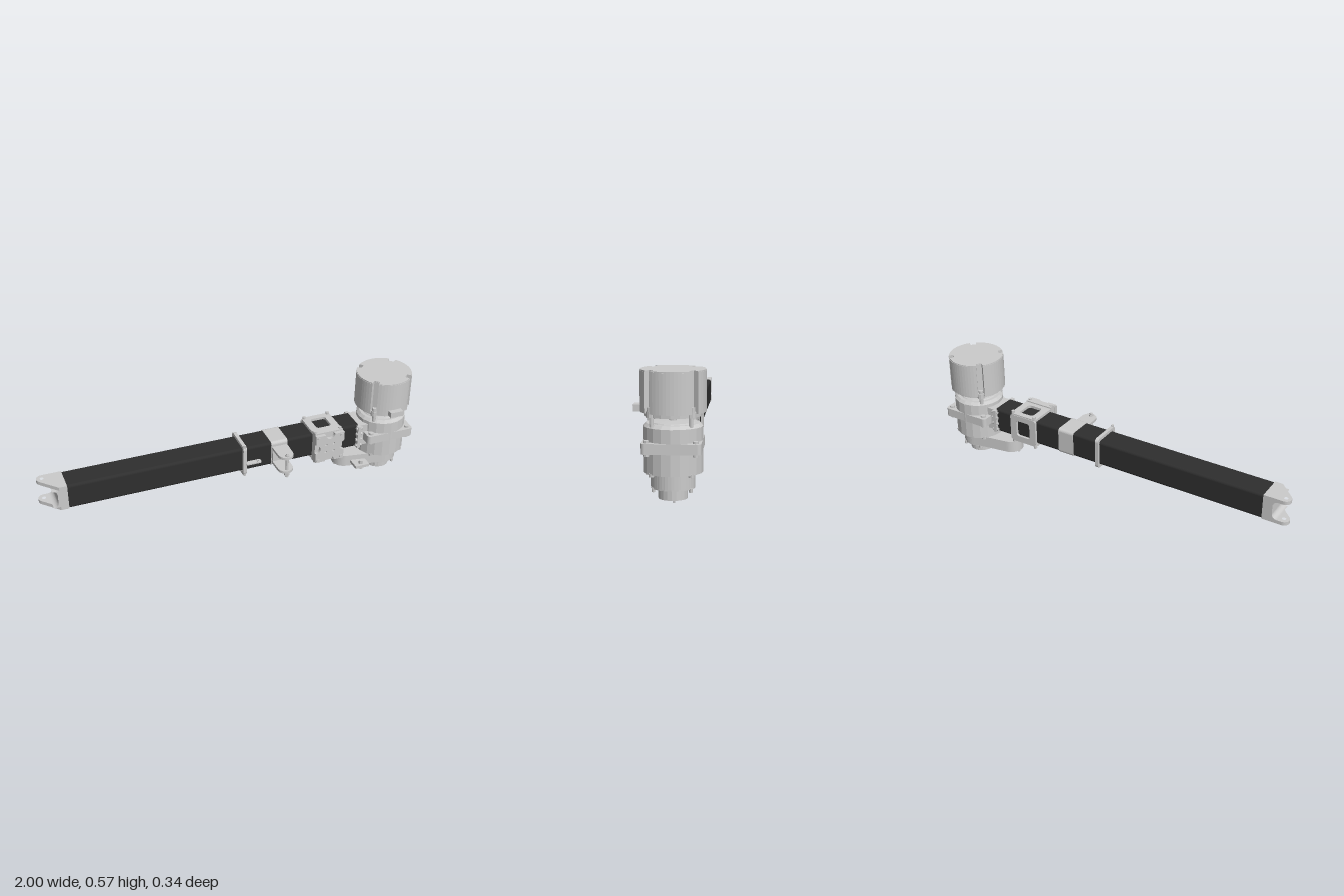
import * as THREE from 'three';

const grey = new THREE.MeshStandardMaterial({ color: 0xcccccc, flatShading: true });
const dark = new THREE.MeshStandardMaterial({ color: 0x2e2e2e, flatShading: true });
const CZ = -0.026, CY = 0.2525, MX = 0.855; // arm axis and gearbox axis

function add(parent, name, geo, x = 0, y = 0, z = 0, mat = grey) {
  const m = new THREE.Mesh(geo, mat);
  m.name = name;
  m.position.set(x, y, z);
  parent.add(m);
  return m;
}
const box = (p, n, x0, x1, y0, y1, z0, z1, mat) =>
  add(p, n, new THREE.BoxGeometry(x1 - x0, y1 - y0, z1 - z0), (x0 + x1) / 2, (y0 + y1) / 2, (z0 + z1) / 2, mat);
const post = (p, n, x, z, y0, y1, r, sides = 10, mat) =>
  add(p, n, new THREE.CylinderGeometry(r, r, y1 - y0, sides), x, (y0 + y1) / 2, z, mat);

// rounded rectangle centred on the origin
function roundRect(w, h, r, T = THREE.Shape) {
  const s = new T(), a = w / 2, b = h / 2;
  s.moveTo(-a + r, -b);
  s.lineTo(a - r, -b).absarc(a - r, -b + r, r, -Math.PI / 2, 0);
  s.lineTo(a, b - r).absarc(a - r, b - r, r, 0, Math.PI / 2);
  s.lineTo(-a + r, b).absarc(-a + r, b - r, r, Math.PI / 2, Math.PI);
  s.lineTo(-a, -b + r).absarc(-a + r, -b + r, r, Math.PI, Math.PI * 1.5);
  return s;
}
function disc(x, y, r) {
  return new THREE.Path().absarc(x, y, r, 0, Math.PI * 2, true);
}
const extrude = (s, depth, curveSegments = 6) =>
  new THREE.ExtrudeGeometry(s, { depth, bevelEnabled: false, curveSegments });
// plan shape drawn in (x, z), filling y0..y1
const slab = (p, n, s, y0, y1, x = 0, z = 0, seg) =>
  add(p, n, extrude(s, y1 - y0, seg).rotateX(Math.PI / 2), x, y1, z);
// section shape drawn in (z, y), running along x0..x1
const along = (p, n, s, x0, x1, y, z, mat) =>
  add(p, n, extrude(s, x1 - x0, 4).rotateY(Math.PI / 2), x0, y, z, mat);

function group(root, name) {
  const g = new THREE.Group();
  g.name = name;
  root.add(g);
  return g;
}

function armAndFork(root) {
  const tube = roundRect(0.135, 0.135, 0.014);
  tube.holes.push(roundRect(0.115, 0.115, 0.008, THREE.Path));
  along(root, 'armTube', tube, -0.87, 0.69, CY, CZ, dark);

  // end fork: two tapered lugs joined by a rounded web
  const g = group(root, 'endFork');
  const lug = new THREE.Shape();
  lug.moveTo(-0.87, -0.093).lineTo(-0.97, -0.093);
  lug.absarc(-0.97, -0.063, 0.03, -Math.PI / 2, -Math.PI * 1.25, true);
  lug.lineTo(-0.91, 0.041).lineTo(-0.87, 0.041);
  lug.holes.push(disc(-0.972, -0.063, 0.01));
  slab(g, 'upperLug', lug, 0.301, 0.32);
  slab(g, 'lowerLug', lug, 0.185, 0.204);
  const web = new THREE.Shape();
  web.moveTo(-0.87, 0.204).lineTo(-0.87, 0.301).lineTo(-0.945, 0.301);
  web.absarc(-0.945, 0.276, 0.025, Math.PI / 2, 0, true);
  web.lineTo(-0.92, 0.229).absarc(-0.945, 0.229, 0.025, 0, -Math.PI / 2, true);
  add(g, 'forkWeb', extrude(web, 0.134), 0, 0, -0.093);
}

function ringClamp(root) {
  const g = group(root, 'ringClamp');
  const ring = roundRect(0.168, 0.172, 0.02);
  ring.holes.push(roundRect(0.136, 0.14, 0.012, THREE.Path));
  along(g, 'ring', ring, 0.036, 0.054, CY, -0.023);
  for (const y of [0.17, 0.335]) post(g, 'ringBolt', 0.045, 0.052, y - 0.008, y + 0.012, 0.007, 6);
  const tab = roundRect(0.085, 0.03, 0.01);
  tab.holes.push(disc(0.025, 0, 0.006));
  slab(g, 'ringTab', tab, 0.231, 0.238, 0.091, 0.054);
}

function hingeBracket(root) {
  const g = group(root, 'hingeBracket');
  along(g, 'band', roundRect(0.143, 0.141, 0.016), 0.195, 0.285, CY, CZ);
  const ear = new THREE.Shape();
  ear.moveTo(-0.042, 0.04).lineTo(0.042, 0.04).lineTo(0.04, 0.125);
  ear.absarc(0, 0.125, 0.04, 0, Math.PI);
  for (const y of [0.2, 0.283]) slab(g, 'hingeEar', ear, y, y + 0.014, 0.24, 0);
  box(g, 'earBack', 0.2, 0.28, 0.2, 0.297, 0.04, 0.055);
  post(g, 'hingePin', 0.24, 0.148, 0.17, 0.312, 0.008);
  post(g, 'pinNut', 0.24, 0.148, 0.182, 0.2, 0.015, 6);
  post(g, 'pinHead', 0.24, 0.148, 0.297, 0.304, 0.012, 8);
}

function boxClamp(root) {
  const g = group(root, 'boxClamp'), x = 0.505;
  // windowed cage on the top, bottom and back
  const frame = roundRect(0.16, 0.15, 0.014);
  frame.holes.push(roundRect(0.084, 0.09, 0.014, THREE.Path));
  slab(g, 'topFrame', frame, 0.32, 0.334, x, -0.03);
  slab(g, 'bottomFrame', frame, 0.17, 0.185, x, -0.03);
  add(g, 'backFrame', extrude(frame, 0.014), x, CY, -0.108);
  // front plate over a solid block, bitten on each edge
  box(g, 'frontBlock', x - 0.078, x + 0.078, 0.165, 0.34, 0.04, 0.076);
  const plate = new THREE.Shape(), h = 0.08, r = 0.026;
  plate.moveTo(-h, -h);
  for (let i = 0; i < 4; i++) {
    const a = i * Math.PI / 2, c = Math.cos(a), s = Math.sin(a);
    plate.absarc(h * s, -h * c, r, a + Math.PI, a, true);
    plate.lineTo(h * c + h * s, h * s - h * c);
  }
  for (const sx of [-1, 1]) for (const sy of [-1, 1]) plate.holes.push(disc(sx * 0.022, sy * 0.022, 0.007));
  add(g, 'frontPlate', extrude(plate, 0.019), x, CY, 0.076);
  for (const sx of [-1, 1]) {
    for (const z of [-0.095, 0.06]) {
      post(g, 'cageBolt', x + sx * 0.068, z, 0.334, 0.346, 0.009, 8);
      post(g, 'cageBolt', x + sx * 0.068, z, 0.157, 0.172, 0.009, 8);
    }
    for (const y of [0.185, 0.32])
      add(g, 'plateBolt', new THREE.CylinderGeometry(0.009, 0.009, 0.01, 8).rotateX(Math.PI / 2), x + sx * 0.065, y, 0.097);
  }
}

function gearbox(root) {
  const g = group(root, 'gearbox');
  const V = (r, y) => new THREE.Vector2(r, y);
  // stepped housing with a hollow output spout
  const profile = [V(0, 0.045), V(0.045, 0.045), V(0.045, 0.012), V(0.064, 0.012), V(0.064, 0.06),
    V(0.096, 0.06), V(0.096, 0.125), V(0.13, 0.13), V(0.13, 0.33), V(0.116, 0.344),
    V(0.1, 0.344), V(0.096, 0.349), V(0, 0.354)];
  add(g, 'housing', new THREE.LatheGeometry(profile, 20), MX, 0, CZ);
  slab(g, 'squareFlange', roundRect(0.262, 0.258, 0.018), 0.224, 0.27, MX, CZ);
  for (const sx of [-1, 1]) for (const sz of [-1, 1]) {
    post(g, 'flangeBolt', MX + sx * 0.105, CZ + sz * 0.105, 0.212, 0.28, 0.013, 8);
    post(g, 'lowerBolt', MX + sx * 0.05, CZ + sz * 0.08, 0.047, 0.065, 0.008, 8);
    post(g, 'housingBolt', MX + sx * 0.085, CZ + sz * 0.085, 0.12, 0.135, 0.012, 8);
  }
  for (const [x, z] of [[0.8, -0.012], [0.908, -0.036]]) post(g, 'spoutPin', x, z, 0.001, 0.03, 0.004, 8);

  // teardrop side arm under the tube
  const arm = new THREE.Shape();
  arm.absarc(0.648, 0, 0.063, Math.PI * 0.55, Math.PI * 1.45);
  arm.absarc(MX, 0, 0.096, -Math.PI * 0.55, Math.PI * 0.55);
  slab(g, 'sideArm', arm, 0.066, 0.13, 0, CZ, 12);
  post(g, 'sideArmBoss', 0.7, CZ, 0.04, 0.07, 0.02, 10);
  post(g, 'sideArmPin', 0.6, CZ, 0.05, 0.07, 0.006, 8);
  box(g, 'sideTab', 0.66, 0.74, 0.085, 0.101, 0.02, 0.107);
  post(g, 'sideTabBolt', 0.7, 0.085, 0.07, 0.12, 0.012, 8);

  // mounting plate joining the tube
  box(g, 'mountPlate', 0.682, 0.7, 0.186, 0.315, -0.11, 0.062);
  box(g, 'mountBlock', 0.7, 0.78, 0.19, 0.312, -0.095, 0.043);
  for (const y of [0.2, 0.235, 0.27, 0.303]) for (const z of [-0.1, 0.052])
    add(g, 'mountBolt', new THREE.CylinderGeometry(0.008, 0.008, 0.034, 8).rotateZ(Math.PI / 2), 0.692, y, z);
}

function motor(root) {
  const g = group(root, 'motor'), D = Math.PI / 4;
  post(g, 'shaft', MX, CZ, 0.34, 0.38, 0.017, 10);
  post(g, 'basePlate', MX, CZ, 0.376, 0.394, 0.127, 20);
  // can with four vertical screw grooves
  const can = new THREE.Shape(), R = 0.145, half = 0.12, depth = 0.121;
  for (let i = 0; i < 4; i++) {
    const a = D + i * Math.PI / 2, b = a + Math.PI / 2;
    can.absarc(0, 0, R, a + half, b - half);
    can.lineTo(Math.cos(b - half) * depth, Math.sin(b - half) * depth);
    can.lineTo(Math.cos(b + half) * depth, Math.sin(b + half) * depth);
  }
  slab(g, 'can', can, 0.393, 0.57, MX, CZ, 6);
  slab(g, 'canLid', can, 0.57, 0.575, MX, CZ, 6).scale.set(0.985, 1, 0.985);
  for (let i = 0; i < 4; i++) {
    const a = D + i * Math.PI / 2, c = Math.cos(a), s = Math.sin(a);
    post(g, 'standoff', MX + c * 0.118, CZ + s * 0.118, 0.335, 0.38, 0.01);
    post(g, 'grooveScrew', MX + c * 0.127, CZ + s * 0.127, 0.385, 0.42, 0.012, 8);
    post(g, 'plateEar', MX + c * 0.122, CZ + s * 0.122, 0.376, 0.402, 0.02, 10);
  }
  box(g, 'cableTab', 0.82, 0.89, 0.393, 0.422, 0.1, 0.146);
}

export function createModel() {
  const root = new THREE.Group();
  root.name = 'motorArm';
  for (const build of [armAndFork, ringClamp, hingeBracket, boxClamp, gearbox, motor]) build(root);
  return root;
}
